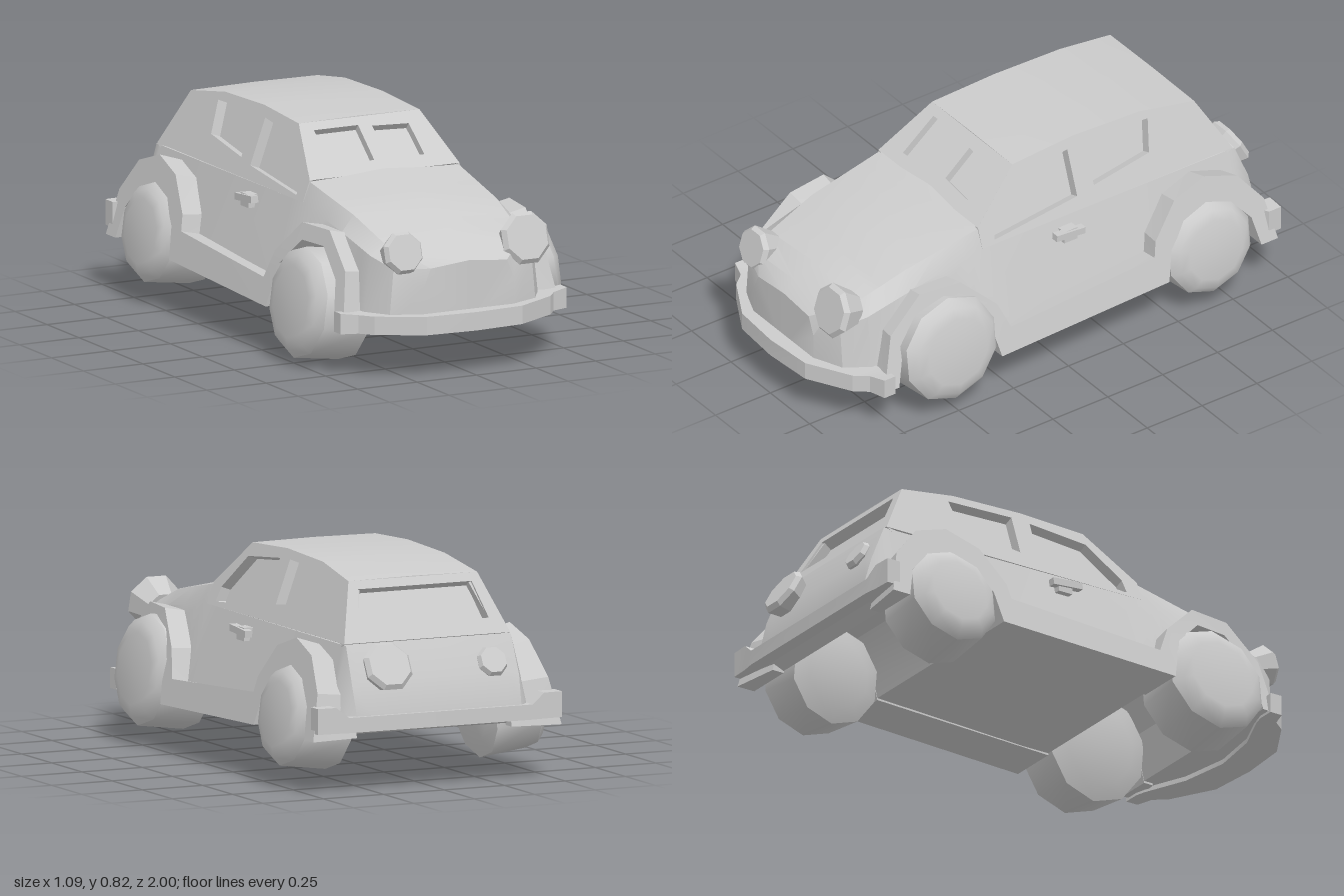
import * as THREE from 'three';
import { toCreasedNormals } from 'three/addons/utils/BufferGeometryUtils.js';

const material = new THREE.MeshStandardMaterial({ color: 0xcccccc, side: THREE.DoubleSide });

function add(group, name, geometry, crease = 0.5) {
  const mesh = new THREE.Mesh(toCreasedNormals(geometry, crease), material);
  mesh.name = name;
  group.add(mesh);
  return mesh;
}

// Skin a list of equal closed rings and cap both ends
function loft(rings) {
  const n = rings[0].length, index = [], last = (rings.length - 1) * n;
  for (let i = 0; i < rings.length - 1; i++) {
    for (let j = 0; j < n; j++) {
      const a = i * n + j, b = i * n + (j + 1) % n;
      index.push(a, b + n, b, a, a + n, b + n);
    }
  }
  for (let j = 1; j < n - 1; j++) index.push(0, j, j + 1, last, last + j + 1, last + j);
  const g = new THREE.BufferGeometry();
  g.setAttribute('position', new THREE.Float32BufferAttribute(rings.flat(2), 3));
  g.setIndex(index);
  return g;
}

// Copy of a geometry on the other side of x = 0, faces kept outward
function mirrored(geometry) {
  const g = geometry.index ? geometry.toNonIndexed() : geometry.clone();
  const p = g.attributes.position, a = new THREE.Vector3(), b = new THREE.Vector3();
  for (let i = 0; i < p.count; i += 3) {
    a.fromBufferAttribute(p, i + 1);
    b.fromBufferAttribute(p, i + 2);
    p.setX(i, -p.getX(i));
    p.setXYZ(i + 1, -b.x, b.y, b.z);
    p.setXYZ(i + 2, -a.x, a.y, a.z);
  }
  g.computeVertexNormals();
  return g;
}

function addPair(group, name, geometry, crease) {
  add(group, name + 'Left', geometry, crease);
  add(group, name + 'Right', mirrored(geometry), crease);
}

// Flat outline with holes, given thickness and laid on a sloping plane by place(u, v, w)
function panel(outline, holes, inner, outer, place) {
  const points = list => list.map(([u, v]) => new THREE.Vector2(u, v));
  const shape = new THREE.Shape(points(outline));
  shape.holes = holes.map(h => new THREE.Path(points(h)));
  const g = new THREE.ExtrudeGeometry(shape, { depth: outer - inner, bevelEnabled: false });
  const p = g.attributes.position;
  for (let i = 0; i < p.count; i++) p.setXYZ(i, ...place(p.getX(i), p.getY(i), p.getZ(i) + inner));
  g.computeVertexNormals();
  return g;
}

// Frame with openings, and glass set back in each opening
function glazedWall(put, name, outline, windows, depth, place) {
  put(name + 'Frame', panel(outline, windows, -depth, 0, place));
  for (const w of windows) put(name + 'Glass', panel(w, [], -depth, 0.01 - depth, place));
}

// Wheel arches: half-ellipse points [z, y] from front to back, inner opening or outer flare
function arch(z, y, width, height, steps) {
  return Array.from({ length: steps + 1 }, (_, i) => {
    const a = Math.PI * i / steps;
    return [z + width * Math.cos(a), y + height * Math.sin(a)];
  });
}
const frontArch = arch(0.53, 0.18, 0.215, 0.29, 5);
const rearArch = arch(-0.66, 0.205, 0.21, 0.24, 6);

const sideX = y => 0.25 + (0.81 - y) * 0.36;

function createBody(car) {
  // z, sill x, shoulder x, shoulder y, edge x, edge y, centre y
  const keys = [
    [0.94, 0.19, 0.19, 0.34, 0.16, 0.41, 0.425],
    [0.89, 0.31, 0.29, 0.41, 0.23, 0.455, 0.465],
    [0.80, 0.37, 0.34, 0.45, 0.28, 0.49, 0.51],
    [0.60, 0.41, 0.35, 0.50, 0.30, 0.56, 0.59],
    [0.27, 0.45, 0.343, 0.55, 0.313, 0.625, 0.64],
    [0.20, 0.45, 0.343, 0.55, 0.33, 0.545, 0.545],
    [-0.87, 0.43, 0.341, 0.545, 0.33, 0.547, 0.547],
    [-0.93, 0.40, 0.345, 0.40, 0.30, 0.415, 0.42],
    [-0.96, 0.37, 0.34, 0.29, 0.28, 0.30, 0.30],
  ];
  const sectionAt = z => {
    const i = Math.max(1, keys.findIndex(k => k[0] <= z));
    const a = keys[i - 1], b = keys[i], t = (a[0] - z) / (a[0] - b[0]);
    return a.map((v, j) => THREE.MathUtils.lerp(v, b[j], t));
  };
  // The floor rises through both wheel arches
  const floor = [[0.94, 0.18], [0.89, 0.18], [0.8, 0.18], ...frontArch, [0.27, 0.18], [0.2, 0.18],
    ...rearArch, [-0.93, 0.23], [-0.96, 0.24]];
  add(car, 'body', loft(floor.map(([z, y]) => {
    const [, xb, xs, ys, xh, yh, yc] = sectionAt(z), yb = y + 0.008;
    const floorX = xs + (xb - xs) * (ys - yb) / (ys - 0.19);
    const half = [[floorX, yb, z], [xs, ys, z], [xh, yh, z]];
    const other = half.map(([x, ...yz]) => [-x, ...yz]).reverse();
    return [[0, yb, z], ...half, [0, yc, z], ...other];
  })));
}

function createCabin(car) {
  const roof = [[0.08, 0.80], [-0.2, 0.815], [-0.5, 0.805], [-0.74, 0.765]];
  add(car, 'roof', loft(roof.map(([z, y]) => {
    const x = sideX(y);
    return [[-x, y - 0.02, z], [x, y - 0.02, z], [x, y, z], [0, y + 0.003, z], [-x, y, z]];
  })));

  // Side walls
  const flip = list => list.map(([z, y]) => [-z, y]);
  const sideWindows = [
    [[0.22, 0.565], [0.21, 0.62], [0.08, 0.75], [-0.165, 0.775], [-0.165, 0.60]],
    [[-0.245, 0.615], [-0.245, 0.78], [-0.53, 0.77], [-0.505, 0.65]],
  ].map(flip);
  const sideOutline = flip([[0.28, 0.55], [0.28, 0.63], ...roof, [-0.86, 0.55]]);
  glazedWall((name, g) => addPair(car, name, g), 'side', sideOutline, sideWindows, 0.05,
    (u, v, w) => [sideX(v) + 0.94 * w, v + 0.34 * w, -u]);

  // Sloping end walls, wider at the base
  const wall = (bottom, top) => [[-sideX(bottom), bottom], [sideX(bottom), bottom],
    [sideX(top), top], [-sideX(top), top]];
  const single = (name, g) => add(car, name, g);
  glazedWall(single, 'windshield', wall(0.63, 0.80), [
    [[-0.21, 0.66], [-0.02, 0.668], [-0.02, 0.775], [-0.205, 0.775]],
    [[0.035, 0.675], [0.19, 0.667], [0.185, 0.763], [0.035, 0.768]],
  ], 0.04, (u, v, w) => [u, v + 0.76 * w, 0.08 + (0.80 - v) * 1.18 + 0.65 * w]);
  glazedWall(single, 'rearWindow', wall(0.55, 0.765),
    [[[-0.27, 0.605], [0.27, 0.605], [0.235, 0.735], [-0.235, 0.735]]], 0.055,
    (u, v, w) => [-u, v + 0.49 * w, -0.74 - (0.765 - v) * 0.558 - 0.87 * w]);
}

function createTrim(car) {
  // Fender flares joined by the side skirt in one strip, top faces falling toward the body
  const inner = [...frontArch, ...rearArch];
  const outer = [...arch(0.53, 0.18, 0.275, 0.355, 5), ...arch(-0.66, 0.205, 0.285, 0.35, 6)];
  outer[5] = [0.26, 0.28];
  outer[6] = [-0.40, 0.32];
  const outX = ([z, y]) => 0.515 - 0.21 * (y - 0.2) - Math.max(0, z - 0.35) * 0.14;
  addPair(car, 'fenderFlare', loft(inner.map((p, i) => {
    const [zi, yi] = p, [zo, yo] = outer[i];
    const fall = 0.35;
    return [[0.32, yi, zi], [outX(p), yi, zi], [outX(outer[i]), yo, zo],
      [0.32, yo + (yi - yo) * fall, zo + (zi - zo) * fall]];
  })), 0.3);

  // Bumpers: x, outer z, inner z for one half, with the tips raised
  const bumper = (name, half, dir, yb, yt, rise) => {
    const path = [...half.map(([x, zo, zi]) => [x * dir, zo, zi]),
      ...half.slice(0, -1).reverse().map(([x, zo, zi]) => [-x * dir, zo, zi])];
    add(car, name, loft(path.map(([x, zo, zi]) => {
      const top = yt + (Math.abs(x) > 0.42 ? rise : 0);
      return [[x, yb, zo], [x, yb, zi], [x, top, zi], [x, top, zo]];
    })), 0.3);
  };
  bumper('frontBumper', [[0.475, 0.82, 0.77], [0.41, 0.84, 0.77], [0.37, 0.89, 0.78],
    [0.2, 0.985, 0.85], [0, 1, 0.88]], 1, 0.17, 0.24, 0.008);
  bumper('rearBumper', [[0.505, -0.965, -0.91], [0.43, -0.968, -0.87], [0.38, -0.975, -0.87],
    [0, -0.975, -0.88]], -1, 0.235, 0.292, 0.04);

  // Door handles
  const bar = new THREE.BoxGeometry(0.03, 0.026, 0.13).rotateX(-0.08).translate(0.385, 0.5, -0.085);
  const grip = new THREE.BoxGeometry(0.05, 0.05, 0.06).translate(0.365, 0.49, -0.09);
  addPair(car, 'doorHandle', bar);
  addPair(car, 'handleMount', grip);
}

// Flared eight-sided lamp pointing along z
function addLamp(car, name, x, y, z, r, length, dir) {
  const profile = [[0, -length], [0.65 * r, -length], [r, -0.01], [0.85 * r, 0.008], [0, 0.008]];
  const g = new THREE.LatheGeometry(profile.map(p => new THREE.Vector2(...p)), 8, Math.PI / 8);
  g.rotateX(dir * (Math.PI / 2 - (dir > 0 ? 0.3 : 0.5)));
  add(car, name, g, 0.3).position.set(x, y, z);
}

// Ten-sided wheel, leaning in at the top, with a rounded outer face
function addWheel(car, name, side, y, z, r) {
  const profile = [[0, -0.03], [0.7, -0.02], [1, 0], [1, 0.19], [0.85, 0.222], [0.65, 0.232], [0, 0.235]];
  const g = new THREE.LatheGeometry(profile.map(([a, h]) => new THREE.Vector2(a * r, h)), 10, Math.PI / 2);
  g.rotateZ(-side * (Math.PI / 2 - 0.13));
  add(car, name, g, 0.7).position.set(side * 0.295, y, z);
}

export function createModel() {
  const car = new THREE.Group();
  car.name = 'car';
  createBody(car);
  createCabin(car);
  createTrim(car);
  addLamp(car, 'headlightLeft', 0.258, 0.478, 0.91, 0.104, 0.1, 1);
  addLamp(car, 'headlightRight', -0.25, 0.472, 0.9, 0.084, 0.1, 1);
  addLamp(car, 'tailLightLeft', 0.205, 0.475, -0.955, 0.1, 0.09, -1);
  addLamp(car, 'tailLightRight', -0.24, 0.46, -0.925, 0.062, 0.06, -1);
  addWheel(car, 'frontWheelLeft', 1, 0.255, 0.52, 0.21);
  addWheel(car, 'frontWheelRight', -1, 0.209, 0.52, 0.21);
  addWheel(car, 'rearWheelLeft', 1, 0.243, -0.655, 0.19);
  addWheel(car, 'rearWheelRight', -1, 0.243, -0.655, 0.19);
  return car;
}
